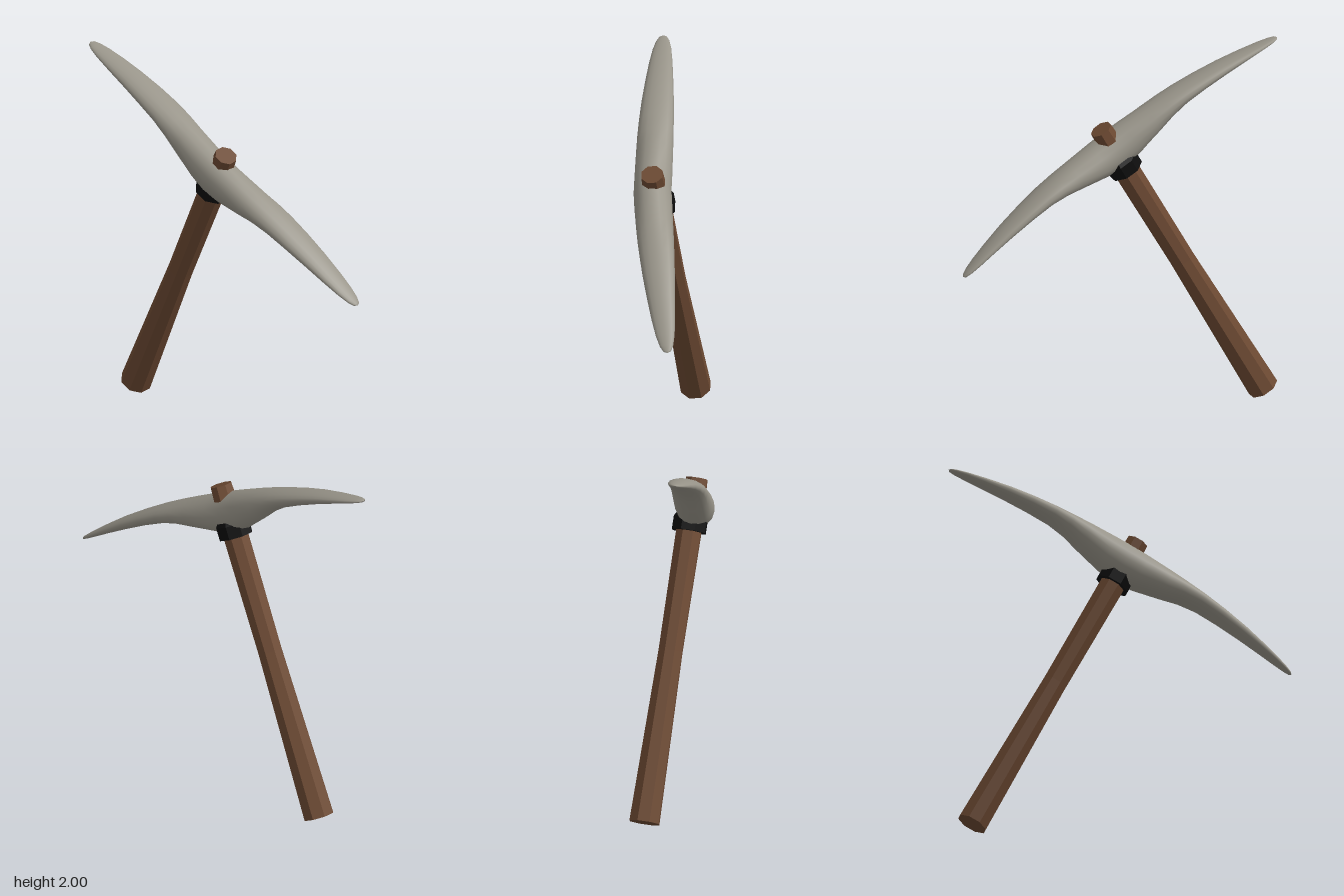
import * as THREE from 'three';

const wood = new THREE.MeshStandardMaterial({ color: 0x6c4932, flatShading: true });
const stone = new THREE.MeshStandardMaterial({ color: 0x99958a });
const black = new THREE.MeshStandardMaterial({ color: 0x0c0c0c, flatShading: true });

// Eight-sided turned part; profile rows are [radius, distance along the handle]
function turned(name, profile, material) {
  const points = profile.map(([r, y]) => new THREE.Vector2(r, y));
  const mesh = new THREE.Mesh(new THREE.LatheGeometry(points, 8, Math.PI / 8), material);
  mesh.name = name;
  return mesh;
}

// Half of the head, centre to tip: [distance, top, underside, half width]
const HALF = [
  [0, 0.125, -0.09, 0.1],
  [0.1, 0.125, -0.08, 0.1],
  [0.25, 0.122, -0.037, 0.098],
  [0.35, 0.118, -0.005, 0.096],
  [0.45, 0.112, 0.013, 0.092],
  [0.58, 0.099, 0.016, 0.085],
  [0.72, 0.08, 0.012, 0.074],
  [0.85, 0.055, 0.005, 0.062],
  [0.95, 0.033, -0.002, 0.049],
  [1.01, 0.018, -0.006, 0.035],
  [1.04, 0.009, -0.007, 0.02],
  [1.05, 0, 0, 0],
];

// Curved head lofted through oval sections
function makeHead() {
  const sides = 16;
  const mirrored = HALF.slice(1).reverse().map(([t, ...rest]) => [-t, ...rest]);
  const rows = [...mirrored, ...HALF];
  const positions = [];
  const index = [];
  rows.forEach(([t, top, under, width], i) => {
    const mid = (top + under) / 2;
    const bow = t > 0 ? 0.08 * t + 0.035 * t * t : 0.01 * t * t;
    for (let j = 0; j < sides; j++) {
      const angle = (j / sides) * Math.PI * 2;
      const side = Math.cos(angle) * width;
      const up = Math.sin(angle) * (top - under) / 2;
      const h = mid + up;
      positions.push(
        -0.09 + bow + side - 0.1 * up,
        1.515 - 0.464 * t + 0.886 * h + 0.116 * side,
        0.886 * t + 0.464 * h
      );
      if (i < rows.length - 1) {
        const a = i * sides + j;
        const b = i * sides + ((j + 1) % sides);
        index.push(a, b, b + sides, a, b + sides, a + sides);
      }
    }
  });
  const geometry = new THREE.BufferGeometry();
  geometry.setAttribute('position', new THREE.Float32BufferAttribute(positions, 3));
  geometry.setIndex(index);
  geometry.computeVertexNormals();
  const mesh = new THREE.Mesh(geometry, stone);
  mesh.name = 'pickHead';
  return mesh;
}

export function createModel() {
  const model = new THREE.Group();
  model.name = 'pickaxe';

  // Leaning shaft, with the collar on the same axis
  const base = new THREE.Vector3(0.1, 0.04, -0.77);
  const axis = new THREE.Vector3(-0.09, 1.665, 0.08).sub(base);
  const length = axis.length();
  const shaft = new THREE.Group();
  shaft.name = 'shaft';
  shaft.position.copy(base);
  shaft.quaternion.setFromUnitVectors(new THREE.Vector3(0, 1, 0), axis.normalize());
  shaft.add(
    turned('handle', [[0, 0], [0.084, 0], [0.067, 0.92], [0.071, 1.6], [0.06, length], [0, length]], wood),
    turned('collar', [[0.06, 1.56], [0.095, 1.56], [0.095, 1.63], [0.06, 1.69]], black)
  );

  model.add(shaft, makeHead());
  return model;
}
